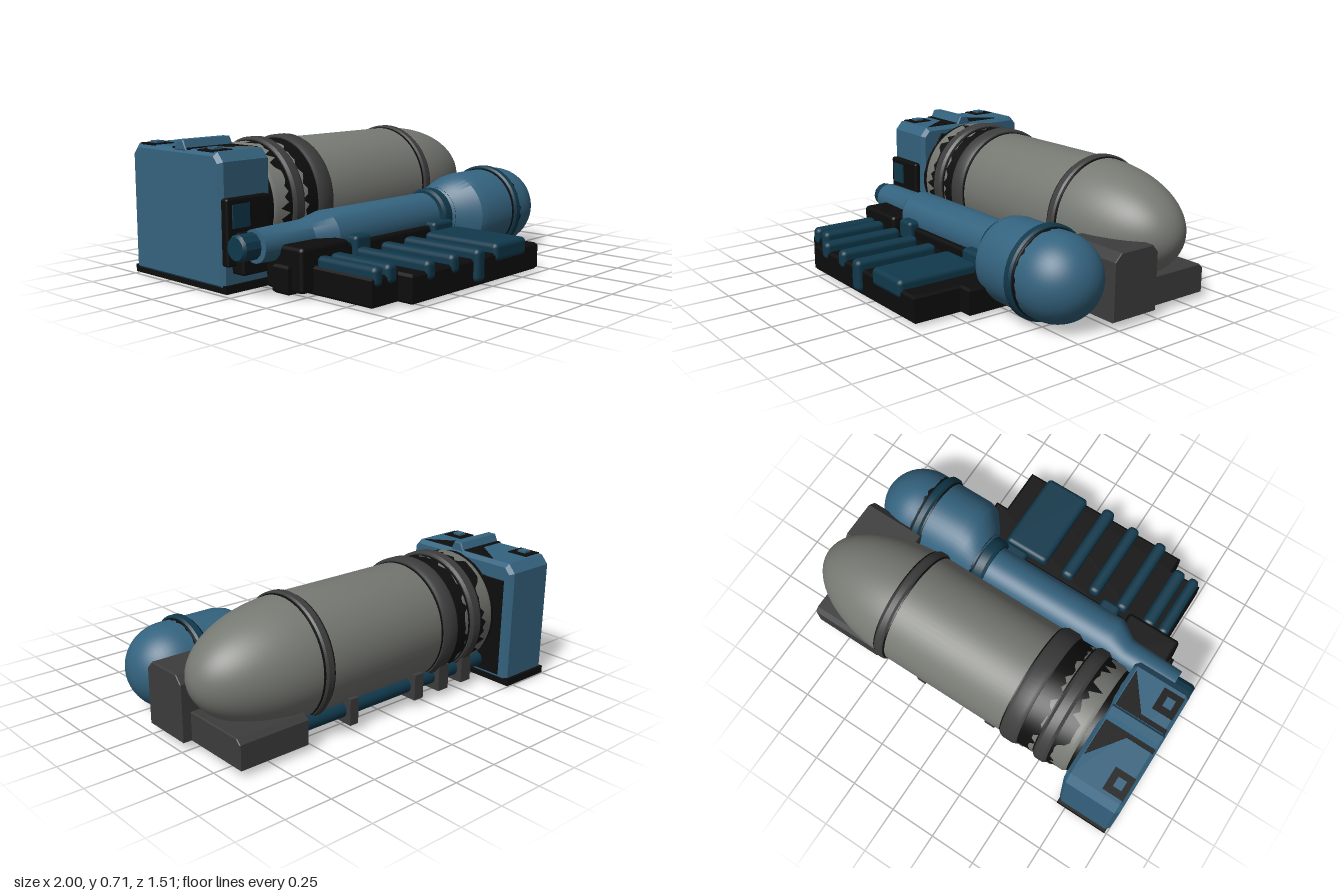
import * as THREE from 'three';
import { toCreasedNormals } from 'three/addons/utils/BufferGeometryUtils.js';
import { RoundedBoxGeometry } from 'three/addons/geometries/RoundedBoxGeometry.js';

const material = (name, color, extra = {}) => {
  const m = new THREE.MeshStandardMaterial({ color, ...extra });
  m.name = name;
  return m;
};

// Small repeatable random numbers for the worn paint edges
let seed = 7;
const rand = () => (seed = (seed * 16807) % 2147483647) / 2147483647;

// Round body along x from sections [x, y, z, radius]; sections may be off-axis
function loft(sections, n = 48) {
  const pos = [], index = [];
  sections.forEach(([x, y, z, r], i) => {
    for (let j = 0; j <= n; j++) {
      const a = (j % n) / n * Math.PI * 2;
      pos.push(x, y + r * Math.cos(a), z + r * Math.sin(a));
      if (i === sections.length - 1 || j === n) continue;
      const p = i * (n + 1) + j, q = p + n + 1;
      if (r > 0) index.push(p, p + 1, q);
      if (sections[i + 1][3] > 0) index.push(q, p + 1, q + 1);
    }
  });
  const g = new THREE.BufferGeometry();
  g.setAttribute('position', new THREE.Float32BufferAttribute(pos, 3));
  g.setIndex(index);
  return toCreasedNormals(g, 0.5);
}

// Sections of an elliptical dome from x0 to x1
const dome = (x0, x1, y, z, r, n = 14) => Array.from({ length: n + 1 }, (_, i) => {
  const a = i / n * Math.PI / 2;
  return [x0 + (x1 - x0) * Math.sin(a), y, z, i === n ? 0 : r * Math.cos(a)];
});

// Raised hoop with bevelled edges
const hoop = (x, w, y, z, r, h, n) => loft([
  [x - w / 2, y, z, r - 0.02], [x - w / 2, y, z, r + h * 0.5], [x - w * 0.3, y, z, r + h],
  [x + w * 0.3, y, z, r + h], [x + w / 2, y, z, r + h * 0.5], [x + w / 2, y, z, r - 0.02]], n);

// Thin painted sleeve from x0 to x1 whose x1 edge is ragged
function raggedBand(x0, x1, y, z, r, depth) {
  const n = 72, g = new THREE.CylinderGeometry(r, r, 1, n, 1, true);
  const bite = Array.from({ length: n }, () => rand() ** 2 * depth);
  const p = g.attributes.position;
  for (let i = 0; i < p.count; i++) {
    const x = p.getY(i) > 0 ? x0 : x1 + bite[i % (n + 1) % n] * Math.sign(x1 - x0);
    p.setXYZ(i, x, y + p.getX(i), z + p.getZ(i));
  }
  g.computeVertexNormals();
  return g;
}

// Extrusion along x of an outline of [z, y] points
function prismX(points, x0, x1, bevel = 0.012) {
  const shape = new THREE.Shape(points.map(([z, y]) => new THREE.Vector2(-z, y)));
  return new THREE.ExtrudeGeometry(shape, {
    depth: x1 - x0 - 2 * bevel, bevelSize: bevel, bevelThickness: bevel,
    bevelOffset: -bevel, bevelSegments: 1,
  }).rotateY(Math.PI / 2).translate(x0 + bevel, 0, 0);
}

// Extrusion upward of an outline of [x, z] points
function slab(points, y0, y1, bevel = 0.012) {
  const shape = new THREE.Shape(points.map(([x, z]) => new THREE.Vector2(x, -z)));
  return new THREE.ExtrudeGeometry(shape, {
    depth: y1 - y0 - 2 * bevel, bevelSize: bevel, bevelThickness: bevel,
    bevelOffset: -bevel, bevelSegments: 1,
  }).rotateX(-Math.PI / 2).translate(0, y0 + bevel, 0);
}

// Boxes given by their limits
const box = (x0, x1, y0, y1, z0, z1) => new THREE.BoxGeometry(x1 - x0, y1 - y0, z1 - z0)
  .translate((x0 + x1) / 2, (y0 + y1) / 2, (z0 + z1) / 2);
const softBox = (x0, x1, y0, y1, z0, z1, r = 0.02) =>
  new RoundedBoxGeometry(x1 - x0, y1 - y0, z1 - z0, 2, r)
    .translate((x0 + x1) / 2, (y0 + y1) / 2, (z0 + z1) / 2);

export function createModel() {
  const blue = material('blue paint', 0x34637f);
  const darkBlue = material('dark blue paint', 0x10394c);
  const grey = material('grey metal', 0x777973);
  const darkGrey = material('dark grey metal', 0x3d3d3d);
  const black = material('black trim', 0x0d0d0d);
  const worn = material('worn black', 0x0e0e0e, { side: THREE.DoubleSide });

  const model = new THREE.Group();
  const add = (name, geometry, mat) => {
    const mesh = new THREE.Mesh(geometry, mat);
    mesh.name = name;
    model.add(mesh);
  };

  // Large tank with a long rounded nose
  const ty = 0.37, tz = -0.35, tr = 0.303;
  add('largeTank', loft([[-0.67, ty, tz, 0], [-0.67, ty, tz, tr - 0.01], [-0.65, ty, tz, tr],
    ...dome(0.44, 1, ty, tz, tr, 20)], 64), grey);
  add('tankNeck', loft([[-0.72, ty, tz, 0.29], [-0.66, ty, tz, 0.29], [-0.66, ty, tz, 0]]), black);
  [[-0.525, 0.075, 0.02], [-0.34, 0.1, 0.02], [0.455, 0.05, 0.014]].forEach(([x, w, h]) => {
    add('tankHoop', hoop(x, w, ty, tz, tr, h, 64), darkGrey);
    add('hoopShadowLine', hoop(x, w + 0.016, ty, tz, tr, 0.005, 64), black);
  });
  add('wornBand', raggedBand(-0.385, -0.45, ty, tz, tr + 0.003, 0.05), worn);
  add('wornBand', raggedBand(-0.56, -0.575, ty, tz, tr + 0.003, 0.07), worn);

  // Slim tank: a tube stepping up to a bulb, all flush along one side
  const sy = 0.24, bz = 0.183;
  add('slimTube', loft([[-0.9, sy, 0.06, 0], [-0.9, sy, 0.06, 0.08], [-0.6, sy, 0.065, 0.088],
    [-0.5, sy, 0.097, 0.122], [0.3, sy, 0.097, 0.122], [0.3, sy, 0.097, 0]]), blue);
  add('tubeCap', loft([[-1, sy, 0.045, 0], [-1, sy, 0.045, 0.055], [-0.985, sy, 0.045, 0.066],
    [-0.89, sy, 0.045, 0.066]], 12), darkBlue);
  add('tubeCollar', hoop(0.29, 0.08, sy, 0.11, 0.122, 0.022), darkBlue);
  add('bulb', loft([[0.31, sy, 0.11, 0], [0.31, sy, 0.11, 0.128], [0.35, sy, 0.14, 0.168],
    [0.41, sy, 0.175, 0.207], [0.46, sy, bz, 0.217], ...dome(0.77, 0.995, sy, bz, 0.217)]), blue);
  add('wornBand', raggedBand(0.325, 0.33, sy, 0.12, 0.147, 0.03), worn);
  add('bulbHoop', hoop(0.69, 0.05, sy, bz, 0.217, 0.019), darkBlue);
  add('hoopShadowLine', hoop(0.69, 0.066, sy, bz, 0.217, 0.007), black);
  add('wornBand', raggedBand(0.71, 0.725, sy, bz, 0.219, 0.015), worn);

  // End housing with chamfered top, roof ridge and foot
  add('housing', prismX([[-0.74, 0.03], [-0.05, 0.03], [-0.05, 0.625], [-0.09, 0.67],
    [-0.7, 0.67], [-0.74, 0.625]], -1, -0.695, 0.02), blue);
  add('roofRidge', prismX([[-0.4, 0.66], [-0.305, 0.66], [-0.33, 0.71], [-0.375, 0.71]],
    -0.995, -0.71, 0.005), blue);
  for (const z of [-0.62, -0.17]) {
    add('roofPatch', box(-0.985, -0.875, 0.665, 0.674, z - 0.06, z + 0.06), black);
    add('roofStud', box(-0.955, -0.91, 0.665, 0.684, z - 0.025, z + 0.025), blue);
  }
  for (const s of [-1, 1]) {
    add('roofWear', slab([[-0.72, tz + s * 0.05], [-0.72, tz + s * 0.24], [-0.86, tz + s * 0.05]],
      0.666, 0.674, 0.001), black);
    add('ridgeLine', box(-0.99, -0.72, 0.665, 0.674, tz + s * 0.055 - 0.012, tz + s * 0.055 + 0.012), black);
  }
  add('tankSeat', prismX([[-0.69, 0.06], [-0.09, 0.06], [-0.09, 0.5], [-0.18, 0.63],
    [-0.58, 0.58], [-0.69, 0.58]], -0.7, -0.69, 0.001), black);
  add('housingFoot', box(-0.99, -0.7, 0.012, 0.05, -0.755, -0.035), black);
  add('sidePanel', softBox(-0.99, -0.73, 0.14, 0.46, -0.1, -0.02, 0.012), black);
  add('sidePanelInset', box(-0.96, -0.86, 0.32, 0.43, -0.05, -0.012), darkBlue);
  add('sidePanelStep', softBox(-0.94, -0.78, 0.1, 0.3, -0.06, 0.03, 0.012), black);

  // Nose support blocks
  add('tallSupport', prismX([[0.03, 0.045], [-0.245, 0.045], [-0.245, 0.335], [-0.21, 0.375],
    [-0.01, 0.375], [0.03, 0.335]], 0.65, 0.99, 0.004), darkGrey);
  add('lowSupport', prismX([[-0.22, 0.04], [-0.62, 0.04], [-0.62, 0.165], [-0.595, 0.19],
    [-0.22, 0.19]], 0.55, 0.94, 0.004), darkGrey);

  // Feed pipe under the large tank with its clamps
  add('feedPipe', loft([[-0.72, 0.11, -0.54, 0.042], [0.6, 0.11, -0.54, 0.042]], 20), darkBlue);
  [[0.26, 0.05], [-0.18, 0.06], [-0.36, 0.07], [-0.53, 0.07]].forEach(([x, w]) =>
    add('pipeClamp', box(x - w / 2, x + w / 2, 0.045, 0.18, -0.61, -0.47), darkGrey));

  // Stepped base deck
  add('deck', slab([[-0.83, 0.1], [-0.83, 0.21], [-0.74, 0.21], [-0.74, 0.645], [-0.57, 0.645],
    [-0.57, 0.73], [0.41, 0.73], [0.41, 0.47], [0.48, 0.47], [0.48, 0.1]], 0.018, 0.155), black);
  add('tubeCradle', softBox(-0.5, 0.34, 0.03, 0.215, 0.06, 0.245), black);
  add('cradleBlock', softBox(-0.81, -0.5, 0.03, 0.245, 0.03, 0.28), black);

  // Raised deck ribs: [x0, x1, y0, z1]
  [[-0.73, -0.67, 0.11, 0.655], [-0.645, -0.575, 0.11, 0.655], [-0.475, -0.41, 0.11, 0.74],
    [-0.3, -0.235, 0.11, 0.74], [-0.13, -0.06, 0.04, 0.757], [0.04, 0.3, 0.11, 0.74]]
    .forEach(([x0, x1, y0, z1]) => add('deckRib', softBox(x0, x1, y0, 0.203, 0.285, z1, 0.025), darkBlue));

  // Clips holding the tube to the deck
  add('tubeClip', softBox(-0.45, -0.34, 0.14, 0.25, 0.18, 0.275), darkBlue);
  add('tubeClip', softBox(0.14, 0.3, 0.14, 0.235, 0.18, 0.275), darkBlue);
  return model;
}
